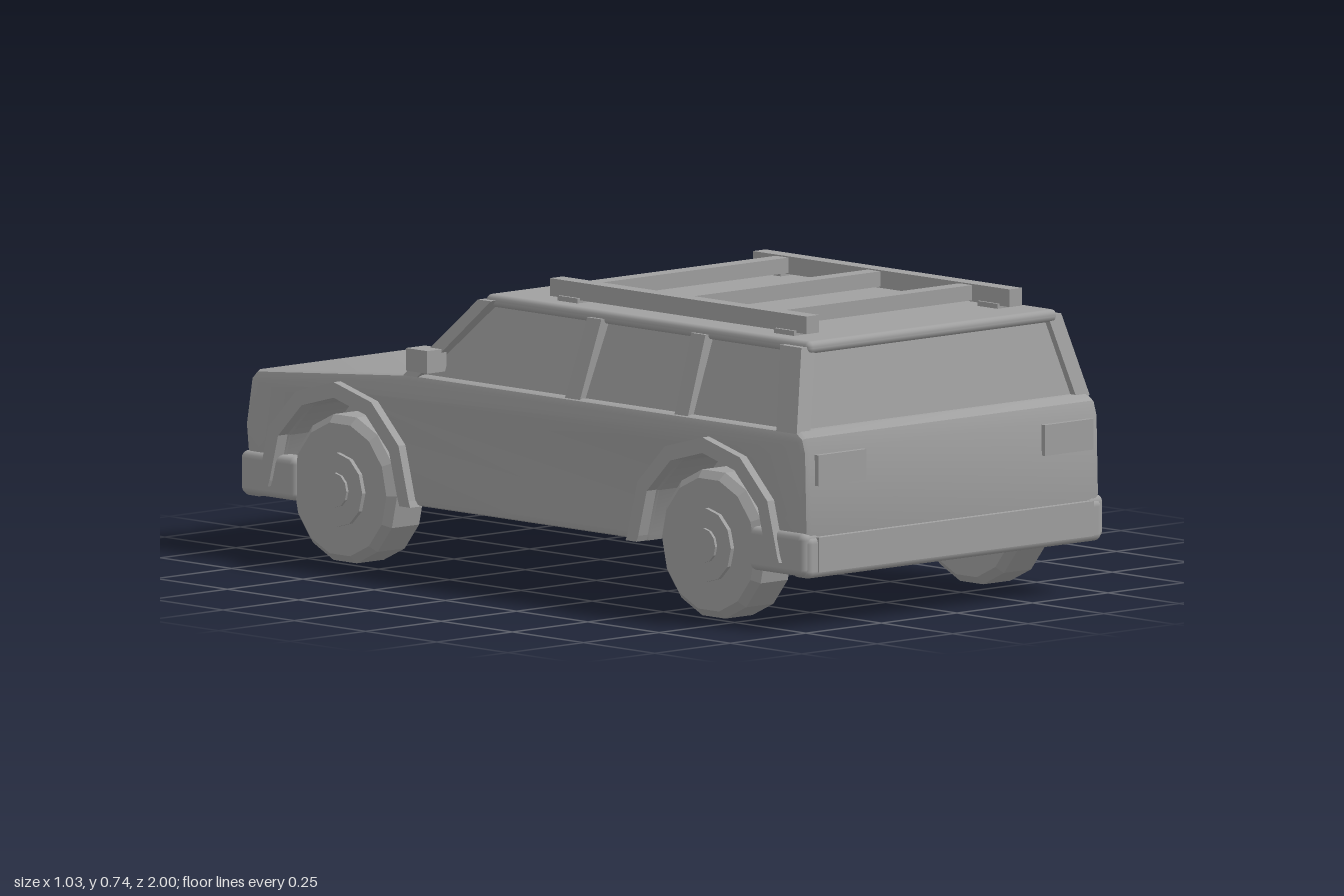
import * as THREE from 'three';
import { toCreasedNormals } from 'three/addons/utils/BufferGeometryUtils.js';
import { RoundedBoxGeometry } from 'three/addons/geometries/RoundedBoxGeometry.js';

const AXLE_Z = 0.647, AXLE_Y = 0.185, FLOOR = 0.17;

export function createModel() {
  const car = new THREE.Group();
  car.name = 'estateCar';
  const paint = new THREE.MeshStandardMaterial({ color: 0xa0a0a0 });
  paint.name = 'grey';

  const add = (name, geo) => {
    const mesh = new THREE.Mesh(geo, paint);
    mesh.name = name;
    car.add(mesh);
    return mesh;
  };

  // Box given by its limits, optionally with rounded edges
  const box = (name, x0, x1, y0, y1, z0, z1, r = 0) => {
    const s = [Math.abs(x1 - x0), y1 - y0, z1 - z0];
    const geo = r ? new RoundedBoxGeometry(...s, 2, r) : new THREE.BoxGeometry(...s);
    geo.translate((x0 + x1) / 2, (y0 + y1) / 2, (z0 + z1) / 2);
    return add(name, geo);
  };

  // Tapered block between a bottom and a top rectangle [x0, x1, z0, z1]
  const taper = (name, y0, bottom, y1, top, side = 1) => {
    const geo = new THREE.BoxGeometry(1, 1, 1);
    const p = geo.attributes.position;
    for (let i = 0; i < p.count; i++) {
      const up = p.getY(i) > 0;
      const q = up ? top : bottom;
      const right = (p.getX(i) > 0) === (side > 0);
      p.setXYZ(i, side * (right ? q[1] : q[0]), up ? y1 : y0, p.getZ(i) > 0 ? q[3] : q[2]);
    }
    geo.computeVertexNormals();
    return add(name, geo);
  };

  // Side outline of (z, y) points, extruded across x
  const extrude = (name, pts, x0, x1, bevel = 0) => {
    const width = Math.abs(x1 - x0);
    let geo = new THREE.ExtrudeGeometry(new THREE.Shape(pts), {
      depth: width - 2 * bevel, bevelEnabled: bevel > 0, bevelSize: bevel,
      bevelThickness: bevel, bevelOffset: -bevel, bevelSegments: 2,
    });
    geo.translate(0, 0, -(width - 2 * bevel) / 2);
    geo.rotateY(-Math.PI / 2);
    geo.translate((x0 + x1) / 2, 0, 0);
    if (bevel) geo = toCreasedNormals(geo, 0.6);
    return add(name, geo);
  };

  // Six-sided wheel arch from +z to -z, starting and ending at floor level
  const arch = (cz, r) => {
    const pts = [new THREE.Vector2(cz + r + 0.006, FLOOR)];
    for (let i = 0; i <= 6; i++) {
      const a = (i / 6) * Math.PI;
      pts.push(new THREE.Vector2(cz + r * Math.cos(a), AXLE_Y + r * Math.sin(a)));
    }
    pts.push(new THREE.Vector2(cz - r - 0.006, FLOOR));
    return pts;
  };

  // Lower body with wheel arches cut out
  const V = (z, y) => new THREE.Vector2(z, y);
  extrude('body', [
    V(-0.97, FLOOR), V(-0.985, 0.31), V(-0.965, 0.425), V(-0.945, 0.445),
    V(-0.41, 0.49), V(0.95, 0.49), V(0.972, 0.475), V(0.983, 0.44), V(0.988, 0.25), V(0.975, FLOOR),
    ...arch(AXLE_Z, 0.222), ...arch(-AXLE_Z, 0.222),
  ], -0.487, 0.487, 0.016);

  // Cabin and roof
  taper('cabin', 0.48, [-0.462, 0.462, -0.42, 0.935], 0.675, [-0.395, 0.395, -0.205, 0.895]);
  box('roof', -0.413, 0.413, 0.667, 0.698, -0.22, 0.918, 0.014);

  // Rear lamps and front grille
  box('grille', -0.21, 0.21, 0.29, 0.405, -0.993, -0.95);

  for (const z of [-1, 1]) {
    const end = z < 0 ? 'front' : 'rear';
    const span = (a, b) => (z < 0 ? [-b, -a] : [a, b]);
    box(end + 'Bumper', -0.49, 0.49, 0.135, 0.238, ...span(0.93, 0.995), 0.018);
    box(end + 'BumperFace', -0.455, 0.455, 0.15, 0.235, ...span(0.97, 0.998));
    extrude(end + 'WheelHousing', arch(z * AXLE_Z, 0.207), -0.36, 0.36);
  }

  for (const s of [-1, 1]) {
    // Roof pillars
    taper('frontPillar', 0.485, [0.45, 0.485, -0.43, -0.38], 0.685, [0.39, 0.43, -0.225, -0.18], s);
    taper('middlePillar', 0.485, [0.44, 0.478, 0.13, 0.183], 0.68, [0.38, 0.422, 0.15, 0.2], s);
    taper('backPillar', 0.485, [0.44, 0.478, 0.515, 0.562], 0.68, [0.38, 0.422, 0.515, 0.565], s);
    taper('rearPillar', 0.485, [0.44, 0.485, 0.88, 0.952], 0.685, [0.385, 0.43, 0.835, 0.91], s);

    box('sideMirror', s * 0.45, s * 0.513, 0.503, 0.558, -0.39, -0.315);
    box('rearLamp', s * 0.295, s * 0.455, 0.36, 0.435, 0.96, 0.996);
    const lamp = new THREE.CylinderGeometry(0.056, 0.056, 0.05, 14);
    lamp.rotateX(Math.PI / 2).translate(s * 0.335, 0.352, -0.975);
    add('headlamp', lamp);

    // Roof rack rails on small feet
    box('rackRail', s * 0.315, s * 0.357, 0.705, 0.748, -0.05, 0.85);
    for (const z of [0.02, 0.78]) box('rackFoot', s * 0.308, s * 0.365, 0.69, 0.71, z - 0.035, z + 0.035);

    for (const z of [-1, 1]) {
      const cz = z * AXLE_Z;
      // Bumper end wrapping round the corner
      box('bumperEnd', s * 0.44, s * 0.5, 0.14, 0.247, z < 0 ? -0.99 : 0.795, z < 0 ? -0.795 : 0.99, 0.018);
      // Arch flare
      extrude('wheelFlare', [...arch(cz, 0.263), ...arch(cz, 0.225).reverse()], s * 0.462, s * 0.51);
      // Tyre with chamfered shoulders, hub and cap
      const tyre = new THREE.LatheGeometry([
        [0, -0.0625], [0.163, -0.0625], [0.182, -0.045], [0.182, 0.045], [0.163, 0.0625], [0, 0.0625],
      ].map((p) => new THREE.Vector2(...p)), 14);
      tyre.rotateZ(Math.PI / 2).translate(s * 0.4265, AXLE_Y, cz);
      add('tyre', toCreasedNormals(tyre, 0.1));
      for (const [name, r, x] of [['wheelHub', 0.09, 0.5], ['hubCap', 0.042, 0.507]]) {
        const hub = new THREE.CylinderGeometry(r, r, 0.04, 12);
        hub.rotateZ(Math.PI / 2).translate(s * (x - 0.02), AXLE_Y, cz);
        add(name, toCreasedNormals(hub, 0.1));
      }
    }
  }

  // Roof rack crossbars
  for (const z of [0.053, 0.375, 0.697]) box('rackCrossbar', -0.32, 0.32, 0.708, 0.745, z - 0.022, z + 0.022);

  return car;
}
